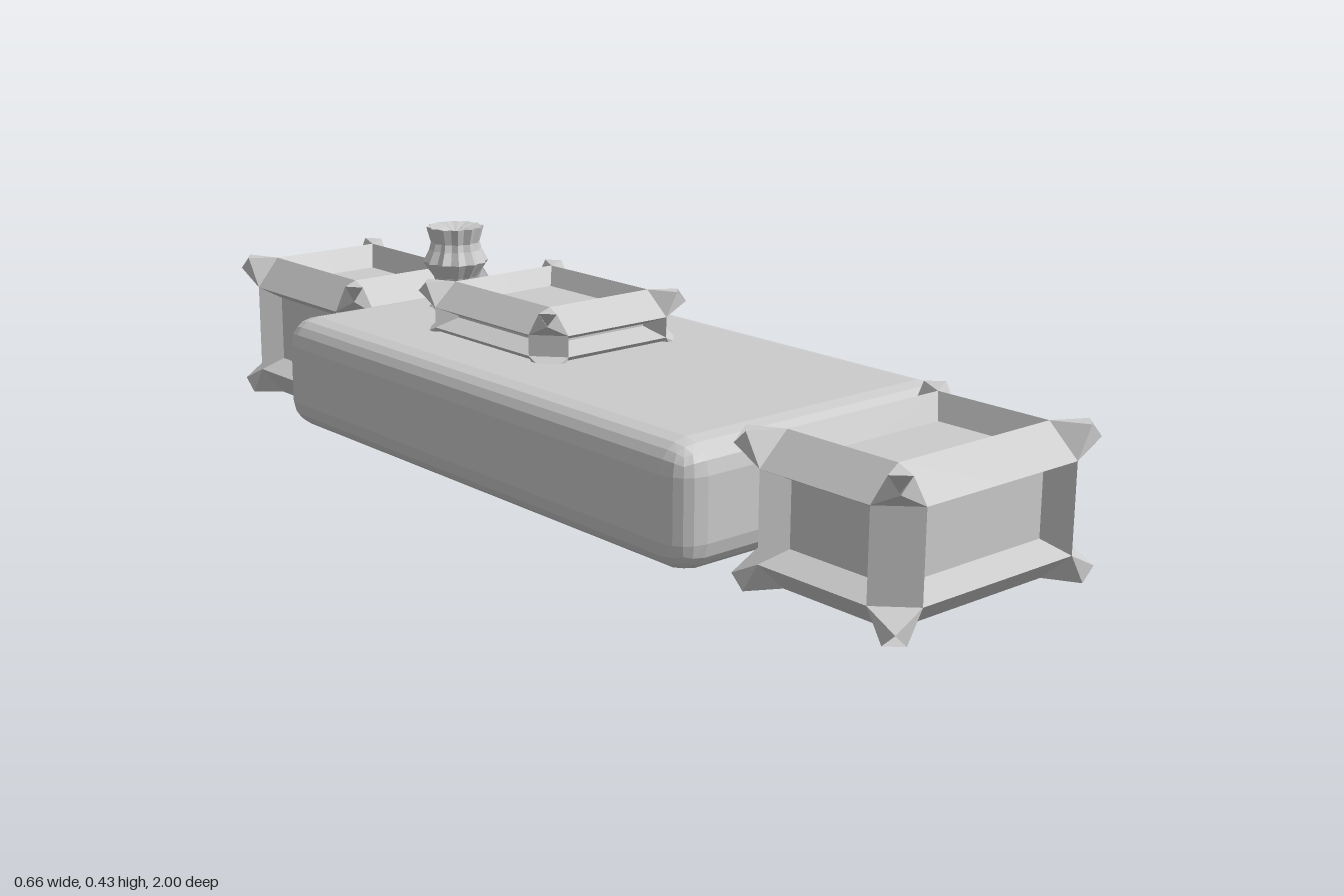
import * as THREE from 'three';
import { RoundedBoxGeometry } from 'three/addons/geometries/RoundedBoxGeometry.js';

const material = new THREE.MeshStandardMaterial({
  color: 0xcccccc, flatShading: true, side: THREE.DoubleSide,
});

// All as fractions of the chamfer width
const PANEL = 1.4; // inset of the sunken panel's border
const RECESS = 0.8; // depth of the sunken panel
const TIP = 0.45; // how far each corner spike stops short of the corner
const CUP = 0.95; // depth of the hollow in each corner

// Chamfered box with sunken panels and flared, cupped corners; one octant is mirrored to all eight
function flaredBox(name, min, max, bevel) {
  const half = min.map((v, i) => (max[i] - v) / 2);
  const centre = min.map((v, i) => (max[i] + v) / 2);
  const pos = [];

  for (const sx of [1, -1]) for (const sy of [1, -1]) for (const sz of [1, -1]) {
    const sign = [sx, sy, sz];
    const flip = sx * sy * sz < 0;
    const tri = (a, b, c) => {
      for (const p of flip ? [a, c, b] : [a, b, c]) pos.push(...p.map((v, i) => v * sign[i]));
    };
    const quad = (a, b, c, d) => { tri(a, b, c); tri(a, c, d); };

    // Point measured inward from the corner; null means the middle of the box
    const point = (i, u, v, w) => {
      const p = [];
      [u, v, w].forEach((inset, n) => {
        const axis = (i + n) % 3;
        p[axis] = inset === null ? 0 : half[axis] - inset * bevel[axis];
      });
      return p;
    };
    const tip = (i) => point(i % 3, TIP, 0, 0);
    const cup = point(0, CUP, CUP, CUP);

    for (let i = 0; i < 3; i++) {
      const rim = point(i, 0, 1, 1);
      const rimJ = point(i, 0, 1, null), rimK = point(i, 0, null, 1);
      const inner = point(i, RECESS, PANEL, PANEL);
      const innerJ = point(i, RECESS, PANEL, null), innerK = point(i, RECESS, null, PANEL);
      // Sunken panel and the walls around it
      quad(point(i, RECESS, null, null), innerJ, inner, innerK);
      quad(innerJ, rimJ, rim, inner);
      quad(inner, rim, rimK, innerK);
      // Edge chamfer and the fin that closes its end
      const endA = point(i, 1, 1, 0), endB = point(i, 1, 0, 1);
      quad(point(i, null, 1, 0), endA, endB, point(i, null, 0, 1));
      tri(endB, endA, tip(i));
      // Corner petal and hollow
      tri(rim, tip(i + 2), tip(i + 1));
      tri(tip(i + 1), tip(i + 2), cup);
    }
  }

  const geometry = new THREE.BufferGeometry();
  geometry.setAttribute('position', new THREE.Float32BufferAttribute(pos, 3));
  geometry.computeVertexNormals();
  const mesh = new THREE.Mesh(geometry, material);
  mesh.name = name;
  mesh.position.set(...centre);
  return mesh;
}

// Fluted knob with a flared foot, collar, waist and rim
function makeKnob() {
  const profile = [
    [0.06, 0.262], [0.044, 0.28], [0.036, 0.305], [0.046, 0.33], [0.067, 0.36],
    [0.054, 0.385], [0.05, 0.4], [0.059, 0.432], [0.03, 0.426], [0, 0.415],
  ].map(([r, y]) => new THREE.Vector2(r, y));
  const sides = 24;
  const geometry = new THREE.LatheGeometry(profile, sides);
  const p = geometry.attributes.position;
  for (let i = 0; i < p.count; i++) {
    const column = Math.floor(i / profile.length) % sides;
    const s = column % 2 ? 0.88 : 1;
    p.setXYZ(i, p.getX(i) * s, p.getY(i), p.getZ(i) * s);
  }
  geometry.computeVertexNormals();
  const knob = new THREE.Mesh(geometry, material);
  knob.name = 'knob';
  knob.position.z = -0.435;
  return knob;
}

export function createModel() {
  const group = new THREE.Group();
  group.name = 'model';

  // Main slab
  const body = new THREE.Mesh(new RoundedBoxGeometry(0.66, 0.225, 1.21, 2, 0.055), material);
  body.name = 'body';
  body.position.set(0, 0.153, 0.02);

  group.add(
    body,
    flaredBox('frontBlock', [-0.24, 0.02, 0.645], [0.24, 0.29, 1], [0.06, 0.055, 0.06]),
    flaredBox('rearBlock', [-0.175, 0, -1], [0.175, 0.305, -0.55], [0.05, 0.06, 0.07]),
    flaredBox('topPanel', [-0.17, 0.23, -0.325], [0.17, 0.36, 0.08], [0.05, 0.045, 0.055]),
    makeKnob(),
  );
  return group;
}
